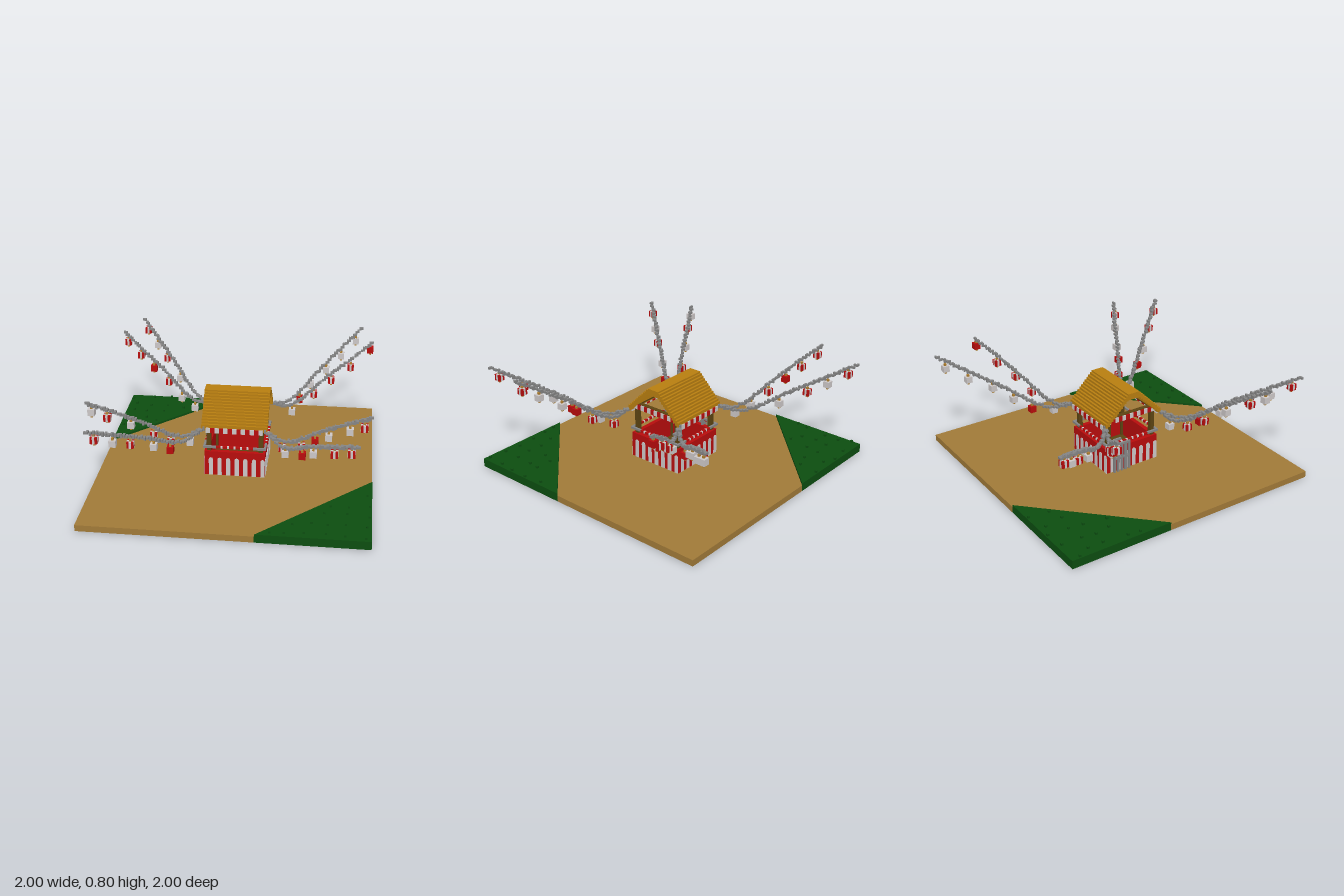
import * as THREE from 'three';
import { mergeGeometries } from 'three/addons/utils/BufferGeometryUtils.js';

const V = 2 / 127; // size of one building cube

function makeMaterial(name, color) {
  const m = new THREE.MeshStandardMaterial({ color });
  m.name = name;
  return m;
}

export function createModel() {
  const root = new THREE.Group();
  root.name = 'marketStall';
  const M = {
    soil: makeMaterial('soil', 0xa17a38),
    grass: makeMaterial('grass', 0x0c4d10),
    roof: makeMaterial('roofWood', 0xb87e10),
    wood: makeMaterial('darkWood', 0x5c4412),
    red: makeMaterial('red', 0xb80c0c),
    white: makeMaterial('white', 0xcdc8c8),
    grey: makeMaterial('greyChain', 0x858585),
    gold: makeMaterial('lanternCap', 0xb08030),
  };

  const box = (w, h, d, x, y, z) => new THREE.BoxGeometry(w, h, d).translate(x, y, z);
  function add(name, geos, material, parent = root) {
    const mesh = new THREE.Mesh(Array.isArray(geos) ? mergeGeometries(geos) : geos, material);
    mesh.name = name;
    parent.add(mesh);
    return mesh;
  }

  // Ground: a diagonal band of soil between two slightly higher grass corners
  function slab(points, height) {
    const shape = new THREE.Shape(points.map(([x, z]) => new THREE.Vector2(x, z)));
    return new THREE.ExtrudeGeometry(shape, { depth: height, bevelEnabled: false })
      .rotateX(Math.PI / 2).translate(0, height, 0);
  }
  const c = 0.22;
  add('soilGround', slab([[-c, -1], [1, -1], [1, c], [c, 1], [-1, 1], [-1, -c]], 3 * V), M.soil);
  let seed = 7;
  const random = () => (seed = (seed * 16807) % 2147483647) / 2147483647;
  for (const s of [1, -1]) {
    add('grassCorner', slab([[s, s], [s * c, s], [s, s * c]], 4 * V), M.grass);
    const tufts = [];
    for (let i = 0; i < 6; i++) {
      for (let j = 0; j < 6; j++) {
        const x = 0.28 + i * 0.13 + random() * 0.06, z = 0.28 + j * 0.13 + random() * 0.06;
        if (x + z > 1.27) tufts.push(box(V, V, V, s * x, 4.5 * V, s * z));
      }
    }
    add('grassTufts', tufts, M.grass);
  }

  // Arched stripe painted on the counter walls
  const arch = new THREE.Shape();
  arch.moveTo(-V, 0);
  arch.lineTo(V, 0);
  arch.lineTo(V, 0.128);
  arch.absarc(0, 0.128, V, 0, Math.PI, false);
  arch.lineTo(-V, 0);

  // One side of the counter, repeated four times around the stall
  for (let k = 0; k < 4; k++) {
    const side = new THREE.Group();
    side.name = 'counterSide';
    side.rotation.y = k * Math.PI / 2;
    root.add(side);
    add('counterWall', box(28 * V - 2 * V, 0.193, 2 * V, -V, 0.144, 13 * V), M.red, side);
    const stripes = [];
    for (let i = 0; i < 7; i++) {
      stripes.push(new THREE.ExtrudeGeometry(arch, { depth: 0.004, bevelEnabled: false, curveSegments: 4 })
        .translate((-11 + 4 * i) * V, 0.048, 14 * V));
    }
    add('counterStripes', stripes, M.white, side);
    // Thin rail with a red and white middle
    add('rail', [-1, 1].map(s => box(6 * V, V, V, s * 11.5 * V, 0.279, 14 * V)), M.grey, side);
    const parts = { red: [], white: [] };
    for (let i = -8; i <= 8; i++) parts[i % 3 ? 'red' : 'white'].push(box(V, V, V, i * V, 0.279, 14 * V));
    add('railRed', parts.red, M.red, side);
    add('railWhite', parts.white, M.white, side);
    // Scalloped cloth under the roof
    const cloth = { red: [], white: [] };
    const front = k % 2 === 0;
    for (let i = 0; i < 13; i++) {
      const y = front ? 0.422 : 0.456;
      cloth[i % 2 ? 'red' : 'white'].push(box(2 * V, 0.038, V, (i - 6) * 2 * V, y, (front ? 15 : 13) * V));
    }
    add('valanceRed', cloth.red, M.red, side);
    add('valanceWhite', cloth.white, M.white, side);
    add('roofBeam', box(24 * V, V, 2 * V, 0, 0.472, 12 * V), M.wood, side);
    add('post', box(2 * V, 0.42, 2 * V, 12 * V, 0.257, 12 * V), M.wood, side);
  }
  add('stallFloor', box(24 * V, V, 24 * V, 0, 3.5 * V, 0), M.wood);

  // Small gate on the right-hand side, with a latch
  const gate = [box(V, V, 9 * V, -15 * V, 0.272, -0.1), box(V, V, 9 * V, -15 * V, 0.16, -0.1)];
  for (let i = 0; i < 5; i++) gate.push(box(V, 0.23, V, -15 * V, 0.163, -0.1 + (i - 2) * 2 * V));
  add('gate', gate, M.grey);
  add('latch', [box(V, V, 4 * V, -13 * V, 0.295, -0.12), box(V, 4 * V, V, -13 * V, 0.27, -0.1)], M.grey);

  // Stepped gable roof with a flat ridge
  const planks = [box(0.476, 3 * V, 6 * V, 0, 0.627, 0)];
  for (let i = 0; i < 12; i++) {
    for (const s of [-1, 1]) planks.push(box(0.476, 2.6 * V, V, 0, 0.618 - i * V, s * (3.5 + i) * V));
  }
  add('roof', planks, M.roof);

  // Lantern strings: each lantern is [distance in x, kind], w white, r red, m mixed
  const strings = [
    [1, -1, 'long', [[.83, 'w'], [.72, 'w'], [.61, 'w'], [.51, 'w'], [.42, 'r']]],
    [1, -1, 'short', [[.95, 'r'], [.80, 'm'], [.66, 'm'], [.54, 'm'], [.38, 'w']]],
    [-1, -1, 'long', [[.84, 'm'], [.74, 'w'], [.65, 'm'], [.52, 'w']]],
    [-1, -1, 'short', [[.93, 'm'], [.82, 'm'], [.70, 'r'], [.58, 'm'], [.47, 'w'], [.36, 'w']]],
    [-1, 1, 'long', [[.84, 'm'], [.74, 'w'], [.64, 'm'], [.52, 'w'], [.42, 'r']]],
    [-1, 1, 'short', [[.93, 'w'], [.84, 'm'], [.69, 'w'], [.55, 'm'], [.44, 'm'], [.32, 'w']]],
    [1, 1, 'long', [[.84, 'm'], [.73, 'm'], [.59, 'w'], [.50, 'r'], [.37, 'w']]],
    [1, 1, 'short', [[.92, 'm'], [.82, 'w'], [.68, 'w'], [.58, 'r'], [.48, 'm'], [.35, 'm']]],
  ];
  const paths = {
    long: [[.22, .435, .23], [.32, .395, .335], [.40, .415, .43], [.55, .535, .61], [.71, .645, .80], [.875, .76, .99]],
    short: [[.22, .435, .23], [.33, .395, .275], [.42, .415, .325], [.60, .55, .43], [.78, .67, .525], [.955, .785, .63]],
  };
  const snap = v => Math.round(v / V) * V;

  function lantern(kind, x, y, z) {
    const g = new THREE.Group();
    g.name = 'lantern';
    g.position.set(x, y, z);
    root.add(g);
    const s = 3 * V;
    add('lanternBody', box(s, s, s, 0, 0, 0), kind === 'w' ? M.white : M.red, g);
    add('lanternCaps', [-2, 2].map(n => box(V, V, V, 0, n * V, 0)), M.gold, g);
    if (kind === 'm') {
      // White cross of panels with red corners left showing
      add('lanternPanels', [box(s + .004, s, V, 0, 0, 0), box(V, s, s + .004, 0, 0, 0),
        box(s, s + .004, V, 0, 0, 0), box(V, s + .004, s, 0, 0, 0)], M.white, g);
    }
  }

  for (const [sx, sz, type, lanterns] of strings) {
    const curve = new THREE.CatmullRomCurve3(
      paths[type].map(([x, y, z]) => new THREE.Vector3(sx * x, y, sz * z)));
    const points = curve.getPoints(500);
    const cells = new Map();
    for (const p of points) {
      const q = [snap(p.x), snap(p.y), snap(p.z)];
      cells.set(q.map(v => Math.round(v / V)).join(), q);
    }
    add('lanternString', [...cells.values()].map(q => box(V, V, V, ...q)), M.grey);
    for (const [x, kind] of lanterns) {
      const p = points.reduce((a, b) => Math.abs(Math.abs(b.x) - x) < Math.abs(Math.abs(a.x) - x) ? b : a);
      lantern(kind, snap(p.x), snap(p.y) - 4 * V + V / 2, snap(p.z));
    }
  }
  return root;
}
